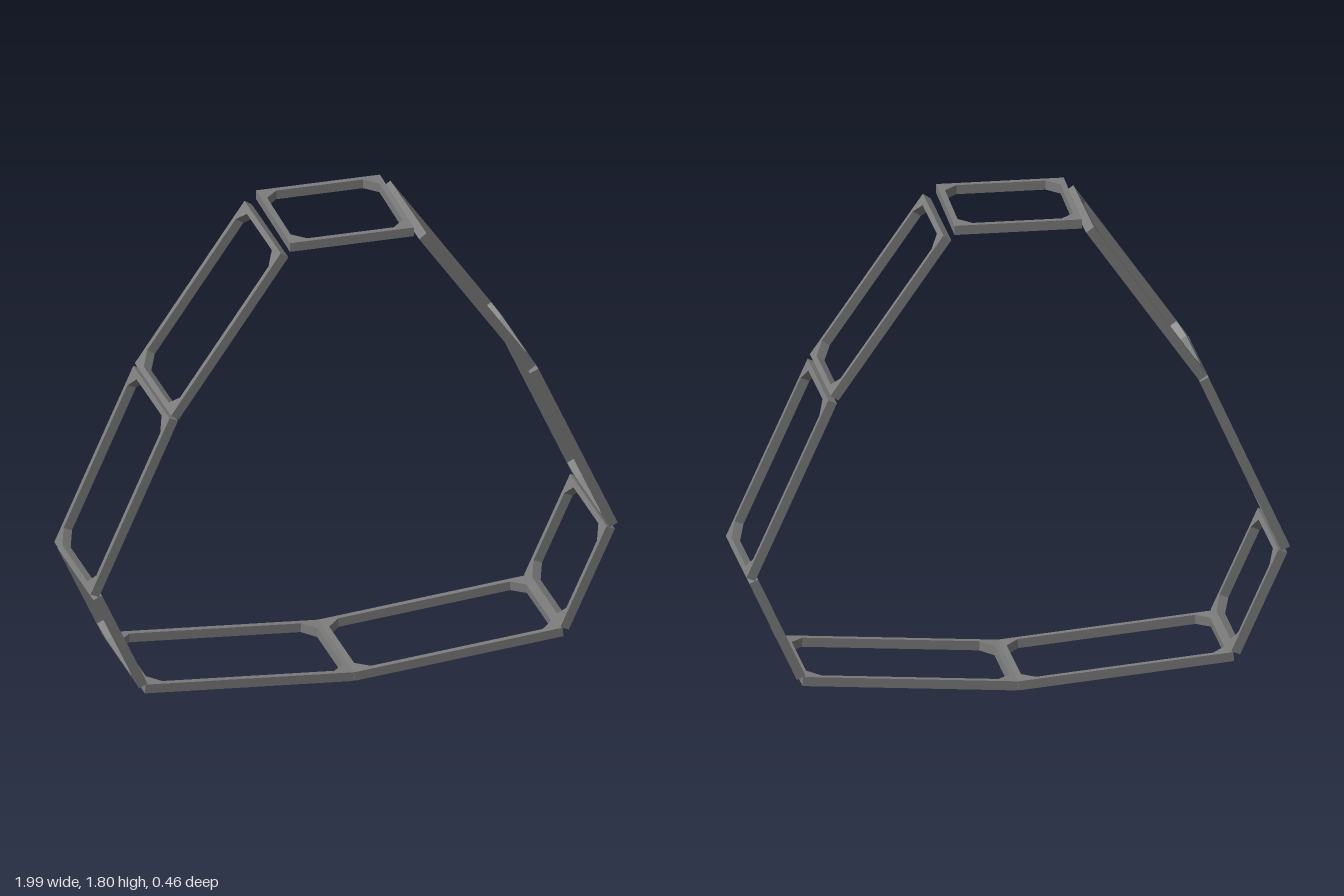
import * as THREE from 'three';

const DEPTH = 0.447, THICK = 0.035, BORDER = 0.022, CHAMFER = 0.048;

// Flat rectangular frame with a chamfered opening; length along x, depth along z
function frameGeometry(length) {
  const a = length / 2, b = DEPTH / 2;
  const shape = new THREE.Shape([[-a, -b], [a, -b], [a, b], [-a, b]].map(p => new THREE.Vector2(...p)));
  const u = a - BORDER, v = b - BORDER, c = CHAMFER;
  const hole = [
    [-u + c, -v], [-u, -v + c], [-u, v - c], [-u + c, v],
    [u - c, v], [u, v - c], [u, -v + c], [u - c, -v],
  ];
  shape.holes.push(new THREE.Path(hole.map(p => new THREE.Vector2(...p))));
  const geo = new THREE.ExtrudeGeometry(shape, { depth: THICK, bevelEnabled: false });
  geo.translate(0, 0, -THICK / 2);
  geo.rotateX(-Math.PI / 2);
  return geo;
}

export function createModel() {
  const group = new THREE.Group();
  const material = new THREE.MeshStandardMaterial({ color: 0x7c7c7c, flatShading: true });

  // Frame whose centreline runs from one point to another in the xy plane
  function addFrame(name, x1, y1, x2, y2) {
    const mesh = new THREE.Mesh(frameGeometry(Math.hypot(x2 - x1, y2 - y1)), material);
    mesh.position.set((x1 + x2) / 2, (y1 + y2) / 2, 0);
    mesh.rotation.z = Math.atan2(y2 - y1, x2 - x1);
    mesh.name = name;
    group.add(mesh);
    return mesh;
  }

  // Top frame, turned very slightly
  addFrame('topFrame', -0.237, 1.783, 0.229, 1.783).rotation.y = -0.02;

  // Side and bottom frames; the two sides differ slightly
  addFrame('leftUpperFrame', 0.26, 1.758, 0.674, 1.166);
  addFrame('rightUpperFrame', -0.263, 1.757, -0.678, 1.162);
  addFrame('leftMiddleFrame', 0.681, 1.152, 0.981, 0.487);
  addFrame('rightMiddleFrame', -0.682, 1.155, -0.981, 0.487);
  addFrame('leftLowerFrame', 0.97, 0.478, 0.796, 0.097);
  addFrame('rightLowerFrame', -0.97, 0.478, -0.797, 0.097);
  addFrame('leftBottomFrame', 0.79, 0.083, 0.001, 0.018);
  addFrame('rightBottomFrame', -0.79, 0.083, -0.001, 0.018);
  return group;
}
